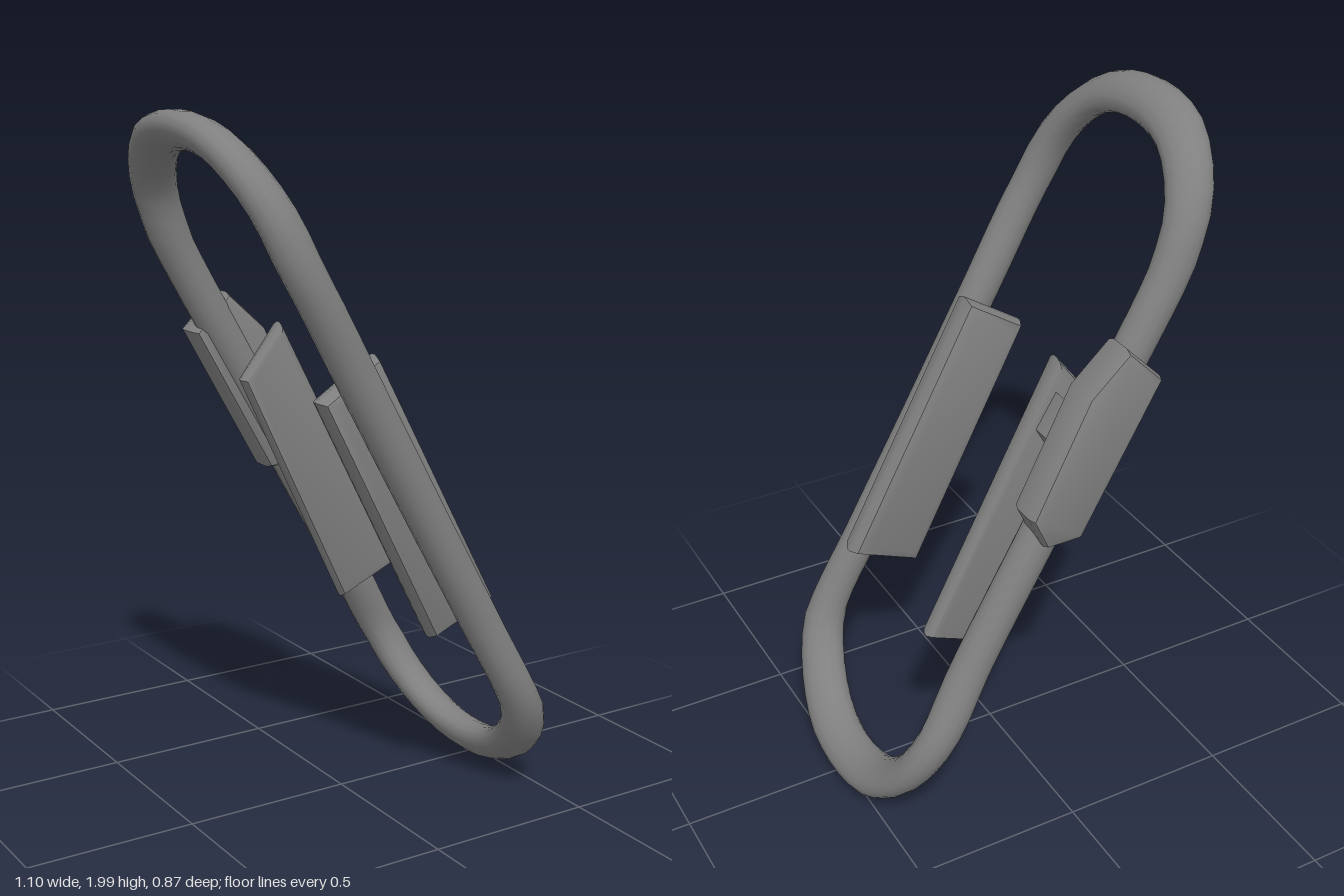
import * as THREE from 'three';
import { mergeVertices, toCreasedNormals } from 'three/addons/utils/BufferGeometryUtils.js';

// Sideways lean of the wire: steeper at both ends than along the middle
const lean = [[0, 0.495], [0.06, 0.482], [0.3, 0.385], [1.62, -0.355], [1.945, -0.487], [2, -0.505]];
function leanAt(y) {
  let i = 0;
  while (i < lean.length - 2 && y > lean[i + 1][0]) i++;
  const [y0, x0] = lean[i], [y1, x1] = lean[i + 1];
  return x0 + (x1 - x0) * (y - y0) / (y1 - y0);
}

// Flat bar with bevelled rim: outline in x,y, spanning z0 to z1
function bar(name, outline, z0, z1, bevel, size, material) {
  const shape = new THREE.Shape(outline.map(p => new THREE.Vector2(...p)));
  const geo = new THREE.ExtrudeGeometry(shape, {
    depth: z1 - z0 - 2 * bevel, bevelEnabled: true, bevelThickness: bevel,
    bevelSize: size, bevelOffset: -size, bevelSegments: 2,
  });
  geo.translate(0, 0, z0 + bevel);
  const mesh = new THREE.Mesh(toCreasedNormals(geo, 0.7), material);
  mesh.name = name;
  return mesh;
}

export function createModel() {
  const group = new THREE.Group();
  group.name = 'wireLink';
  const steel = new THREE.MeshStandardMaterial({ color: 0x808080 });
  steel.name = 'grey steel';

  // Closed oval wire, drawn as z,y then leaned along x
  const path = [
    [0, 1.945], [0.19, 1.905], [0.325, 1.775], [0.372, 1.62], [0.374, 1.3], [0.372, 0.95], [0.374, 0.6],
    [0.37, 0.3], [0.29, 0.18], [0.15, 0.088], [0, 0.06], [-0.16, 0.088], [-0.285, 0.18], [-0.355, 0.32],
    [-0.342, 0.55], [-0.342, 0.95], [-0.338, 1.3], [-0.335, 1.62], [-0.305, 1.775], [-0.18, 1.905],
  ];
  const curve = new THREE.CatmullRomCurve3(path.map(([z, y]) => new THREE.Vector3(0, y, z)), true);
  let wire = new THREE.TubeGeometry(curve, 80, 0.054, 14, true);
  const pos = wire.attributes.position;
  for (let i = 0; i < pos.count; i++) pos.setX(i, pos.getX(i) * 1.2 + leanAt(pos.getY(i)));
  wire.deleteAttribute('uv');
  wire.deleteAttribute('normal');
  wire = mergeVertices(wire, 1e-4);
  wire.computeVertexNormals();
  const loop = new THREE.Mesh(wire, steel);
  loop.name = 'wireLoop';
  group.add(loop);

  // Inner bars on either side of the opening
  group.add(bar('frontBar', [[0.14, 0.52], [0.35, 0.61], [-0.05, 1.355], [-0.23, 1.24]], 0.19, 0.29, 0.042, 0.035, steel));
  group.add(bar('backBar', [[0.135, 0.515], [0.33, 0.6], [-0.075, 1.38], [-0.2, 1.22]], -0.255, -0.19, 0.025, 0.025, steel));

  // Sleeve around the back wire and the bridge that holds the back bar
  group.add(bar('sleeve', [[-0.05, 0.92], [0.06, 0.92], [0.105, 1.02], [-0.06, 1.35], [-0.18, 1.46], [-0.29, 1.35]],
    -0.432, -0.31, 0.03, 0.025, steel));
  group.add(bar('bridge', [[-0.05, 1.1], [0, 1.19], [-0.06, 1.29], [-0.13, 1.2]], -0.34, -0.22, 0.01, 0.01, steel));

  return group;
}
